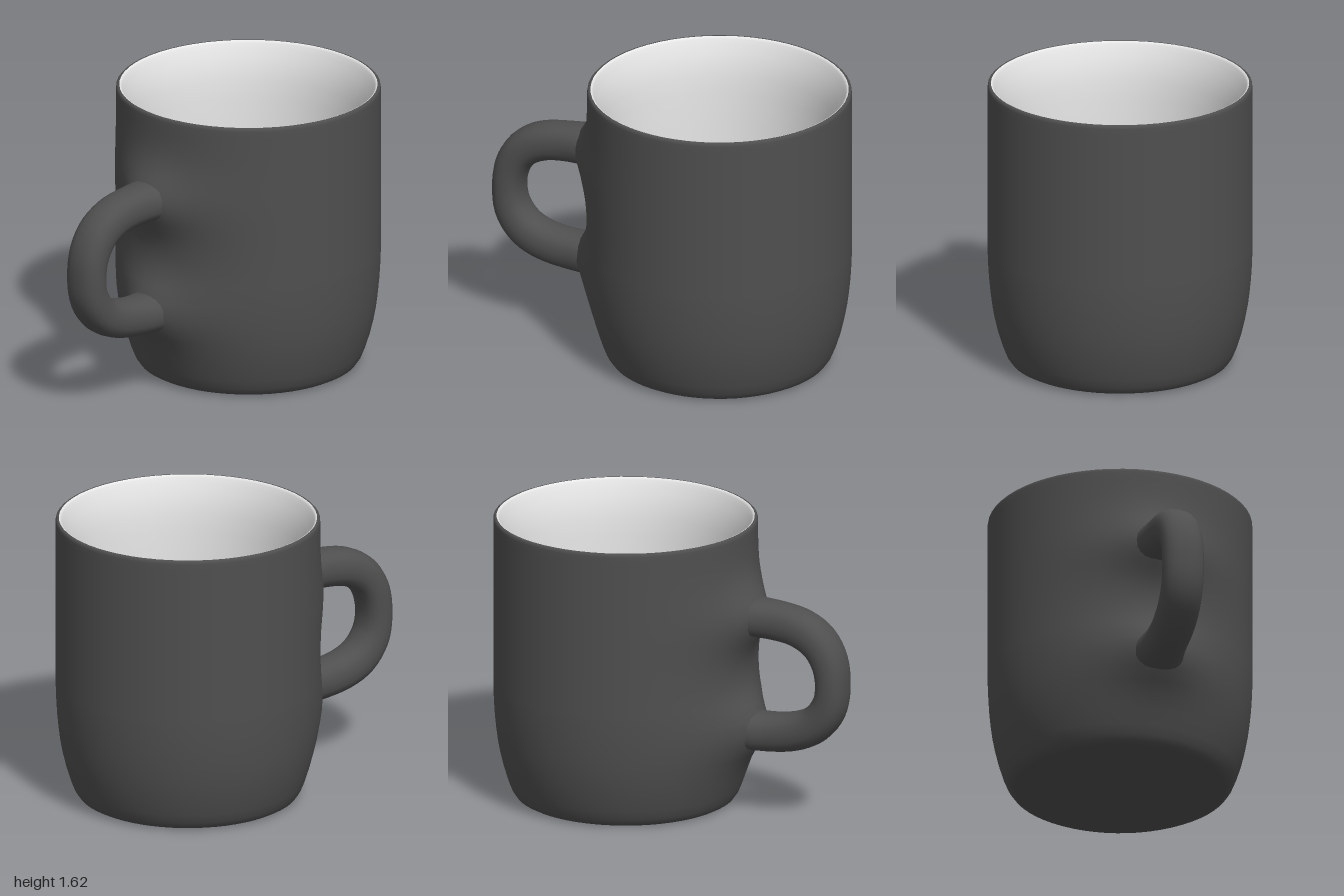
import * as THREE from 'three';
import { mergeVertices } from 'three/addons/utils/BufferGeometryUtils.js';

const HANDLE_ANGLE = -0.382; // handle points forward and to the model's right
const JOINTS = [1.14, 0.49]; // heights where the handle meets the wall

const vec2 = (pairs) => pairs.map(([x, y]) => new THREE.Vector2(x, y));

// Weld seams so the normals stay smooth all the way round
function smooth(geometry) {
  geometry.deleteAttribute('normal');
  geometry.deleteAttribute('uv');
  const welded = mergeVertices(geometry, 1e-4);
  welded.computeVertexNormals();
  return welded;
}

// Outer wall: lathe profile, swollen softly around the handle joints
function outerWall() {
  const profile = [[0, 0], [0.53, 0], [0.58, 0.004], [0.606, 0.018], [0.628, 0.05], [0.648, 0.1], [0.673, 0.18],
    [0.692, 0.26], [0.705, 0.33], [0.714, 0.4], [0.722, 0.48], [0.727, 0.56], [0.73, 0.64]];
  for (let y = 0.68; y < 1.58; y += 0.04) profile.push([0.73, y]);
  profile.push([0.73, 1.595], [0.728, 1.608], [0.722, 1.614], [0.712, 1.615]);
  const geometry = new THREE.LatheGeometry(vec2(profile), 60, Math.PI);
  const pos = geometry.attributes.position;
  for (let i = 0; i < pos.count; i++) {
    const x = pos.getX(i), y = pos.getY(i), z = pos.getZ(i);
    const r = Math.hypot(x, z);
    if (r < 0.6 || y > 1.59) continue;
    const arc = (Math.atan2(x, z) - HANDLE_ANGLE) * r;
    let swell = 0;
    for (const joint of JOINTS) {
      const dy = y - joint;
      swell += 0.065 * Math.exp(-((arc / 0.36) ** 2) - (dy / 0.19) ** 2); // broad swelling
      swell += 0.06 * Math.exp(-(arc * arc + dy * dy) / 0.026); // fillet at the joint
    }
    pos.setXYZ(i, x * (1 + swell / r), y, z * (1 + swell / r));
  }
  return smooth(geometry);
}

// Inner wall and floor, running from the rim down to the centre
function innerWall() {
  const profile = vec2([[0.712, 1.615], [0.705, 1.613], [0.698, 1.603], [0.688, 1.575], [0.672, 1.53], [0.657, 1.47],
    [0.647, 1.4], [0.641, 1.3], [0.638, 1.1], [0.638, 0.7], [0.634, 0.5], [0.624, 0.35], [0.605, 0.23], [0.575, 0.15],
    [0.53, 0.1], [0.47, 0.075], [0.4, 0.067], [0, 0.065]]);
  return smooth(new THREE.LatheGeometry(profile, 60, Math.PI));
}

// Handle: rounded section swept along a loop, widening into the wall
function handleLoop() {
  const path = new THREE.SplineCurve(vec2([[0.7, 1.14], [0.9, 1.135], [1.06, 1.11], [1.175, 1.045], [1.243, 0.94],
    [1.265, 0.81], [1.245, 0.68], [1.17, 0.575], [1.055, 0.515], [0.9, 0.488], [0.7, 0.485]]));
  const rings = 48, sides = 20, positions = [], index = [];
  const squared = (v) => Math.sign(v) * Math.abs(v) ** 0.85;
  for (let i = 0; i <= rings; i++) {
    const p = path.getPointAt(i / rings), t = path.getTangentAt(i / rings);
    const width = 0.115 * (1 + 0.25 * Math.exp(-(((p.x - 0.74) / 0.12) ** 2)));
    const depth = 0.088 + 0.02 * Math.abs(t.x);
    for (let j = 0; j < sides; j++) {
      const a = (j / sides) * Math.PI * 2;
      const d = squared(Math.sin(a)) * depth;
      positions.push(squared(Math.cos(a)) * width, p.y + t.x * d, p.x - t.y * d);
      if (i === rings) continue;
      const k = (j + 1) % sides, n = i * sides;
      index.push(n + j, n + k, n + sides + j, n + k, n + sides + k, n + sides + j);
    }
  }
  const geometry = new THREE.BufferGeometry();
  geometry.setAttribute('position', new THREE.Float32BufferAttribute(positions, 3));
  geometry.setIndex(index);
  geometry.computeVertexNormals();
  return geometry;
}

export function createModel() {
  const darkGlaze = new THREE.MeshStandardMaterial({ color: 0x4f4f4f });
  darkGlaze.name = 'dark glaze';
  const whiteGlaze = new THREE.MeshStandardMaterial({ color: 0xe7e7e7 });
  whiteGlaze.name = 'white glaze';

  const mug = new THREE.Group();
  mug.name = 'mug';
  const add = (name, geometry, material) => {
    const mesh = new THREE.Mesh(geometry, material);
    mesh.name = name;
    mesh.position.z = -0.27;
    mug.add(mesh);
    return mesh;
  };
  add('outerWall', outerWall(), darkGlaze);
  add('innerWall', innerWall(), whiteGlaze);
  add('handle', handleLoop(), darkGlaze).rotation.y = HANDLE_ANGLE;
  return mug;
}
